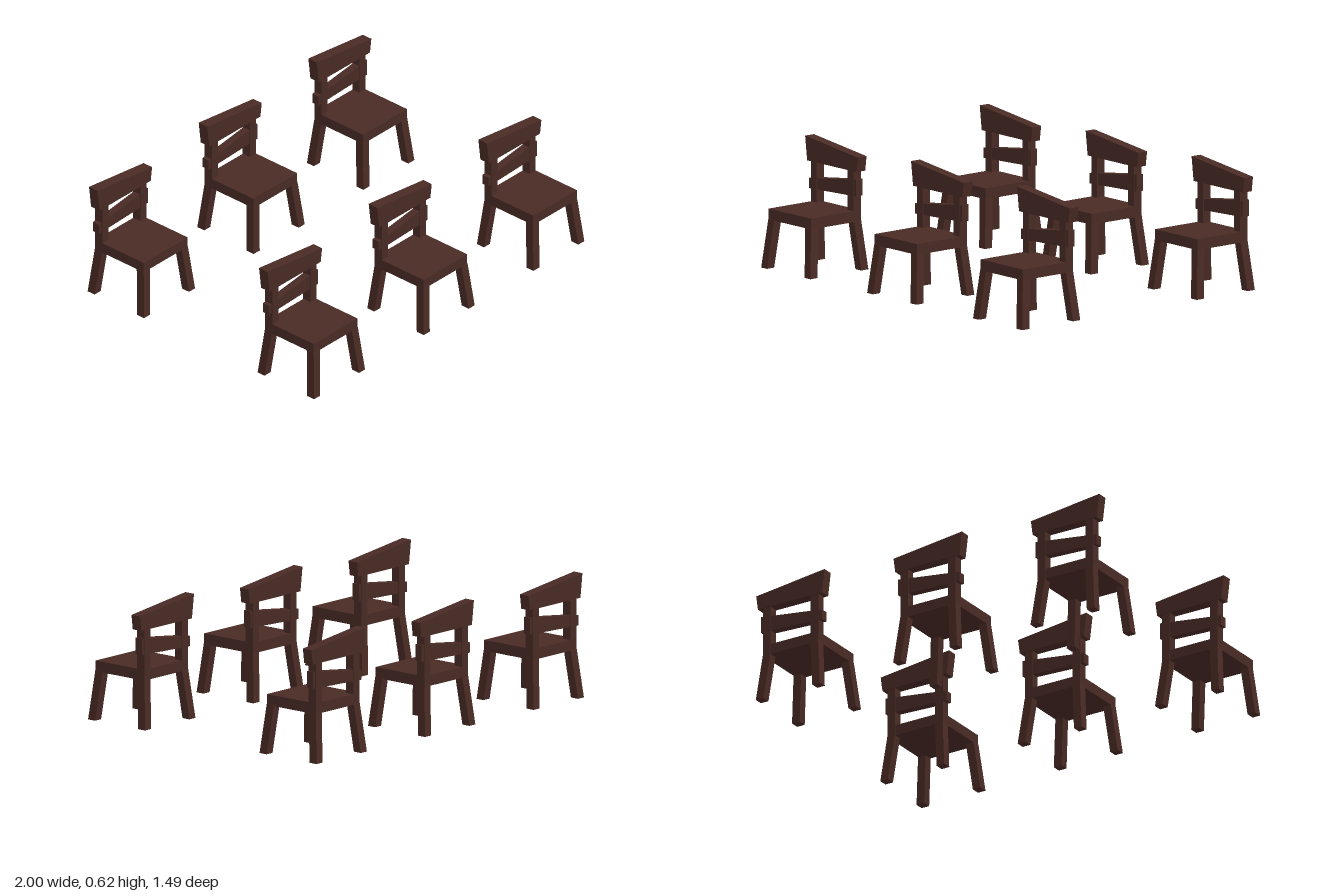
import * as THREE from 'three';

const wood = new THREE.MeshStandardMaterial({ color: 0x4a2b25, flatShading: true });

function add(group, geometry, name) {
  const mesh = new THREE.Mesh(geometry, wood);
  mesh.name = name;
  group.add(mesh);
  return mesh;
}

function block(group, name, [w, h, d], [x, y, z]) {
  const mesh = add(group, new THREE.BoxGeometry(w, h, d), name);
  mesh.position.set(x, y, z);
}

// Straight-sided leg whose foot is pushed outwards from the seat corner
function splayedLeg(group, name, sx, sz) {
  const height = 0.245, splay = 0.025;
  const geometry = new THREE.BoxGeometry(0.044, height, 0.046);
  geometry.translate(0, height / 2, 0);
  const p = geometry.attributes.position;
  for (let i = 0; i < p.count; i++) {
    const k = splay * (1 - p.getY(i) / height);
    p.setX(i, p.getX(i) + sx * k);
    p.setZ(i, p.getZ(i) + sz * k);
  }
  geometry.computeVertexNormals();
  add(group, geometry, name).position.set(sx * 0.139, 0, sz * 0.138);
}

// Crooked board: an outline in x and y with thickness along z
function board(group, name, outline, zBack, depth) {
  const shape = new THREE.Shape(outline.map(([x, y]) => new THREE.Vector2(x, y)));
  const geometry = new THREE.ExtrudeGeometry(shape, { depth, bevelEnabled: false });
  add(group, geometry, name).position.z = zBack;
}

function createChair() {
  const chair = new THREE.Group();
  block(chair, 'seat', [0.32, 0.054, 0.318], [0, 0.268, 0.001]);

  for (const sx of [-1, 1]) {
    const side = sx > 0 ? 'left' : 'right';
    splayedLeg(chair, side + 'FrontLeg', sx, 1);
    splayedLeg(chair, side + 'BackLeg', sx, -1);
    block(chair, side + 'BackPost', [0.044, 0.275, 0.048], [sx * 0.139, 0.3775, -0.136]);
  }

  // Uneven slat and slanted top rail of the backrest
  board(chair, 'backSlat',
    [[-0.18, 0.357], [0.176, 0.371], [0.176, 0.455], [-0.18, 0.408]], -0.156, 0.04);
  board(chair, 'topRail',
    [[-0.185, 0.496], [0.188, 0.496], [0.198, 0.57], [-0.2, 0.617]], -0.164, 0.056);
  return chair;
}

export function createModel() {
  const model = new THREE.Group();
  model.name = 'chairSet';
  // Two rows of three chairs
  for (const z of [-0.56, 0.56]) {
    for (const x of [-0.8, 0, 0.8]) {
      const chair = createChair();
      chair.name = 'chair';
      chair.position.set(x, 0, z);
      model.add(chair);
    }
  }
  return model;
}
